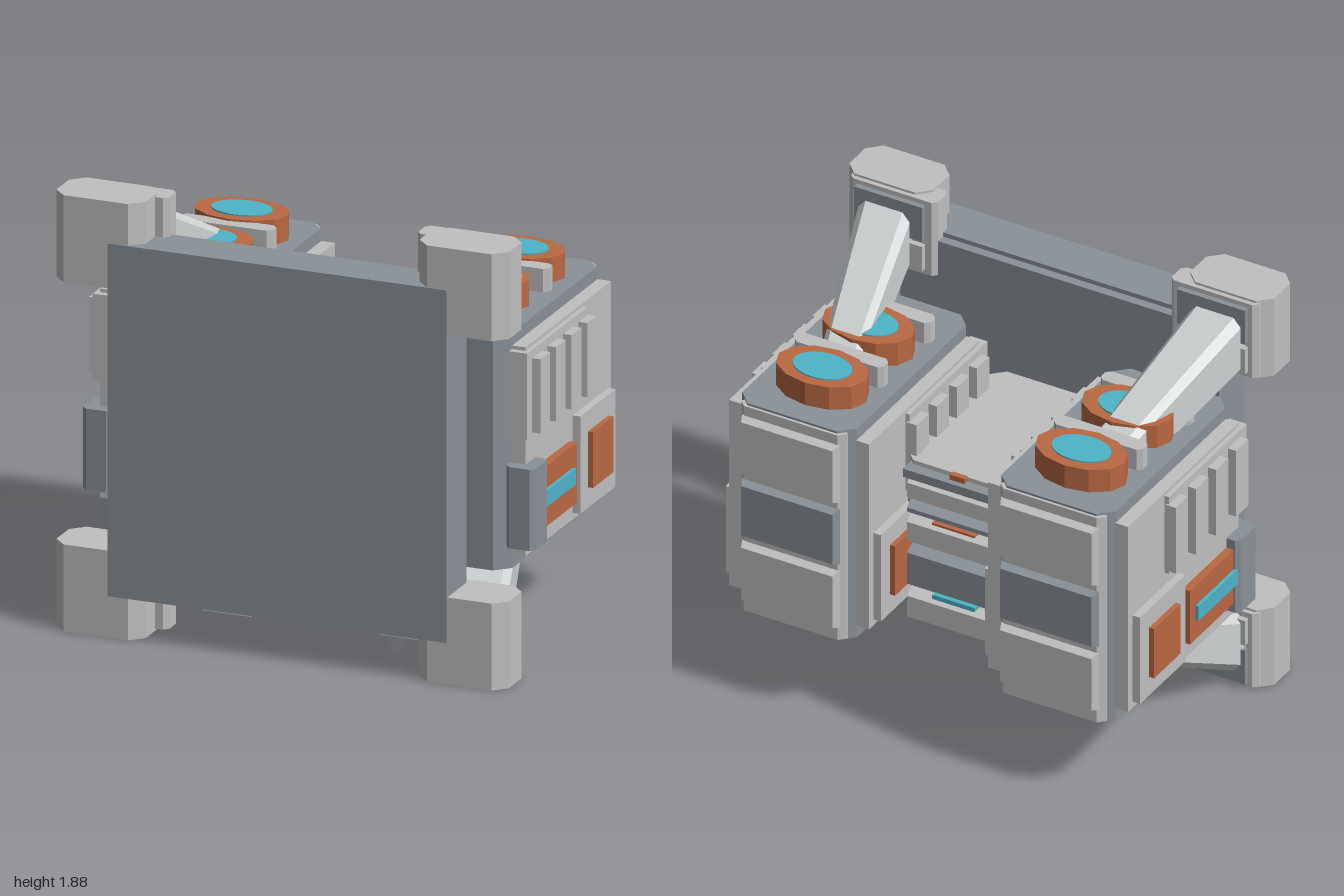
import * as THREE from 'three';

const mat = (name, color) => {
  const m = new THREE.MeshStandardMaterial({ color });
  m.name = name;
  m.flatShading = true;
  return m;
};

export function createModel() {
  const root = new THREE.Group();
  root.name = 'shieldedThrusterUnit';
  const light = mat('lightGrey', 0xc0c0c0);
  const dark = mat('slateGrey', 0x8a9198);
  const pale = mat('paleStrut', 0xced2d2);
  const orange = mat('rustOrange', 0xba6843);
  const cyan = mat('cyanGlow', 0x4eb4c9);

  const add = (name, geo, m, parent = root) => {
    const mesh = new THREE.Mesh(geo, m);
    mesh.name = name;
    parent.add(mesh);
    return mesh;
  };
  // Axis-aligned block given by its limits; x limits may come in either order
  const box = (name, m, x0, x1, y0, y1, z0, z1, parent) => {
    const g = new THREE.BoxGeometry(Math.abs(x1 - x0), y1 - y0, z1 - z0);
    g.translate((x0 + x1) / 2, (y0 + y1) / 2, (z0 + z1) / 2);
    return add(name, g, m, parent);
  };
  // Rectangle with cut corners, centred on the origin
  const octagon = (w, h, c) => {
    const a = w / 2, b = h / 2;
    return new THREE.Shape([[a, -b + c], [a, b - c], [a - c, b], [-a + c, b],
      [-a, b - c], [-a, -b + c], [-a + c, -b], [a - c, -b]].map(p => new THREE.Vector2(...p)));
  };
  // Upright block whose plan has cut corners
  const prism = (name, m, x0, x1, y0, y1, z0, z1, c, parent) => {
    const g = new THREE.ExtrudeGeometry(octagon(Math.abs(x1 - x0), z1 - z0, c),
      { depth: y1 - y0, bevelEnabled: false });
    g.rotateX(-Math.PI / 2);
    g.translate((x0 + x1) / 2, y0, (z0 + z1) / 2);
    return add(name, g, m, parent);
  };
  // Panel with a sloped rim, facing the back
  const backPanel = (name, m, x, w, y0, y1, z0, z1, parent) => {
    const g = new THREE.BoxGeometry(w, y1 - y0, z1 - z0);
    const p = g.attributes.position;
    for (let i = 0; i < p.count; i++) {
      if (p.getZ(i) < 0) {
        p.setX(i, p.getX(i) - Math.sign(p.getX(i)) * 0.015);
        p.setY(i, p.getY(i) - Math.sign(p.getY(i)) * 0.015);
      }
    }
    g.translate(x, (y0 + y1) / 2, (z0 + z1) / 2);
    return add(name, g.toNonIndexed(), m, parent);
  };

  // Front shield
  box('shield', dark, -0.75, 0.75, 0.18, 1.7, 0.48, 0.685);
  box('shieldBack', dark, -0.72, 0.72, 0.2, 1.68, 0.44, 0.48);

  // Central body between the pods
  const core = new THREE.Group();
  core.name = 'centralBody';
  root.add(core);
  prism('coreBlock', light, -0.28, 0.28, 0.42, 1.16, -0.33, 0.43, 0.06, core);
  prism('coreWings', light, -0.5, 0.5, 0.34, 0.68, 0.36, 0.435, 0.035, core);
  [[0.42, 0.55, light], [0.58, 0.76, dark], [0.79, 0.91, light], [0.93, 0.98, dark], [1.0, 1.1, light]]
    .forEach(([y0, y1, m]) => backPanel('coreBackSlat', m, 0, 0.46, y0, y1, -0.39, -0.32, core));
  box('coreBackCap', dark, -0.24, 0.24, 1.1, 1.14, -0.38, -0.3, core);
  box('coreTopMark', orange, -0.035, 0.035, 1.09, 1.165, -0.355, -0.329, core);
  box('coreMark', orange, -0.1, 0.1, 0.915, 0.925, -0.385, -0.32, core);
  box('coreLamp', cyan, -0.1, 0.1, 0.555, 0.575, -0.385, -0.32, core);

  for (const s of [1, -1]) {
    const side = s > 0 ? 'left' : 'right';
    const cx = 0.61 * s;

    // Pod shell and back plates
    const pod = new THREE.Group();
    pod.name = side + 'Pod';
    root.add(pod);
    prism('podShell', dark, cx - 0.27, cx + 0.27, 0.4, 1.415, -0.64, 0.365, 0.06, pod);
    prism('backFrame', light, cx - 0.25, cx + 0.25, 0.41, 1.405, -0.652, -0.59, 0.03, pod);
    [[0.47, 0.75, light], [0.78, 1.05, dark], [1.08, 1.36, light]]
      .forEach(([y0, y1, m]) => backPanel('backPanel', m, cx, 0.46, y0, y1, -0.685, -0.65, pod));

    // Outer and inner pod sides carry the same panels
    for (const t of [1, -1]) {
      const slab = (name, m, d0, d1, y0, y1, z0, z1) =>
        box(name, m, cx + t * d0, cx + t * d1, y0, y1, z0, z1, pod);
      slab('sidePlate', light, 0.26, 0.33, 0.46, 1.36, -0.585, 0.31);
      slab('ventPlate', light, 0.27, 0.35, 0.97, 1.345, -0.29, 0.34);
      for (let i = 0; i < 4; i++) {
        const z = 0.24 - i * 0.163;
        slab('ventFin', light, 0.34, 0.388, 0.99, 1.31, z - 0.05, z + 0.05);
      }
      slab('hatchFrame', light, 0.32, 0.365, 0.49, 0.91, -0.55, -0.18);
      slab('hatch', orange, 0.36, 0.388, 0.58, 0.82, -0.475, -0.26);
      slab('lampPanel', orange, 0.32, 0.365, 0.55, 0.81, -0.145, 0.22);
      slab('lampStrip', cyan, 0.36, 0.38, 0.645, 0.715, -0.1, 0.22);
      const d0 = cx + t * 0.26, d1 = cx + t * 0.39;
      prism('sideHousing', dark, d0, d1, 0.505, 0.855, 0.21, 0.365, 0.02, pod);
    }

    // Round nozzles on top with their brackets
    for (const [z, bz] of [[-0.395, -0.24], [-0.02, 0.14]]) {
      const rim = new THREE.CylinderGeometry(1, 1, 0.12, 12).scale(0.205, 1, 0.14);
      add('nozzleRim', rim.translate(cx, 1.463, z), orange, pod);
      const disc = new THREE.CylinderGeometry(1, 1, 0.008, 32).scale(0.13, 1, 0.092);
      add('nozzleGlow', disc.translate(cx, 1.525, z), cyan, pod);
      prism('nozzleBracket', light, cx - 0.21, cx + 0.21, 1.4, 1.515, bz - 0.037, bz + 0.037, 0.02, pod);
    }

    // Corner blocks and struts, top and bottom
    for (const v of [1, -1]) {
      const corner = new THREE.Group();
      corner.name = (v > 0 ? 'upper' : 'lower') + (s > 0 ? 'Left' : 'Right') + 'Corner';
      root.add(corner);
      const at = y => 0.94 + v * y;
      const block = (fn, name, m, x0, x1, a, b, ...rest) =>
        fn(name, m, s * x0, s * x1, Math.min(at(a), at(b)), Math.max(at(a), at(b)), ...rest, corner);
      block(prism, 'cornerBlock', light, 0.605, 1.0, 0.565, 0.94, 0.44, 0.68, 0.055);
      block(prism, 'cornerBacking', light, 0.55, 0.96, 0.575, 0.93, 0.42, 0.53, 0.02);
      block(box, 'cornerUpperPad', dark, 0.6, 0.92, 0.745, 0.91, 0.395, 0.43);
      block(box, 'cornerLowerPad', light, 0.6, 0.92, 0.6, 0.72, 0.395, 0.43);

      // Strut tapering from the corner down into the pod
      const g = new THREE.ExtrudeGeometry(octagon(1, 1, 0.14), { depth: 1, bevelEnabled: false });
      const p = g.attributes.position;
      for (let i = 0; i < p.count; i++) {
        const k = p.getZ(i), z = -0.22 + 0.64 * k;
        const outer = 1.59 + 0.527 * z - 0.94, inner = 1.36 + 0.41 * z - 0.94;
        p.setXYZ(i, s * (0.635 + 0.15 * k) + p.getX(i) * (0.175 + 0.07 * k),
          at(0) + v * (outer + inner) / 2 + p.getY(i) * (outer - inner), z);
      }
      g.computeVertexNormals();
      add('strut', g, pale, corner);
    }

    // Hanging equipment under the body
    const foot = new THREE.Group();
    foot.name = side + 'Underslung';
    root.add(foot);
    const f = (name, m, x0, x1, ...r) => box(name, m, s * x0, s * x1, ...r, foot);
    f('mount', light, 0.1, 0.5, 0.175, 0.42, 0.19, 0.36);
    f('mountBlock', dark, 0.1, 0.27, 0.23, 0.42, 0.09, 0.19);
    f('gripCore', light, 0.285, 0.5, 0.025, 0.3, 0.2, 0.285);
    f('gripRib', light, 0.295, 0.49, 0.05, 0.09, 0.145, 0.2);
    f('gripRib', light, 0.295, 0.49, 0.13, 0.19, 0.145, 0.2);
    f('gripTop', light, 0.295, 0.49, 0.215, 0.4, 0.09, 0.2);
    f('gripLamp', cyan, 0.32, 0.465, 0.18, 0.225, 0.115, 0.15);
  }
  return root;
}
